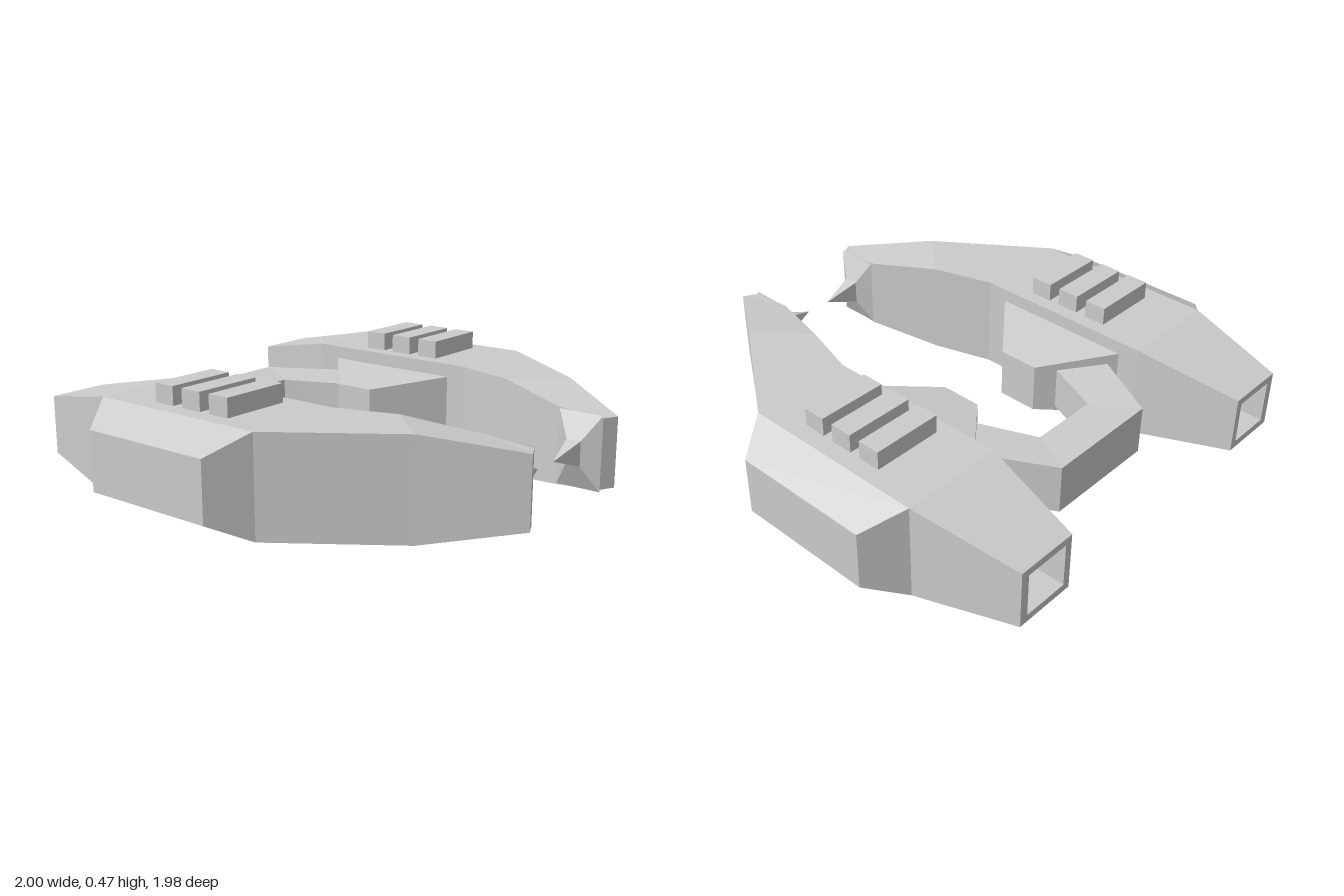
import * as THREE from 'three';

const material = new THREE.MeshStandardMaterial({ color: 0xcccccc, flatShading: true });

// Skin four-cornered rings in order; corners run counter-clockwise seen from ahead.
function loft(rings) {
  const out = [];
  const tri = (...pts) => {
    const [a, b, c] = pts.map((p) => new THREE.Vector3(...p));
    if (new THREE.Triangle(a, b, c).getArea() > 1e-7) out.push(...pts.flat());
  };
  const quad = (a, b, c, d) => { tri(a, b, c); tri(a, c, d); };
  for (let k = 0; k + 1 < rings.length; k++) {
    const a = rings[k], b = rings[k + 1];
    for (let i = 0; i < 4; i++) {
      const j = (i + 1) % 4;
      quad(a[i], a[j], b[j], b[i]);
    }
  }
  quad(...[...rings[0]].reverse());
  quad(...rings[rings.length - 1]);
  const geometry = new THREE.BufferGeometry();
  geometry.setAttribute('position', new THREE.Float32BufferAttribute(out, 3));
  return geometry;
}

// Ring spanning an inner and an outer point [x, z], both between heights y0 and y1
const span = ([xi, zi], [xo, zo], y0, y1, i0 = y0, i1 = y1) =>
  [[xi, i0, zi], [xo, y0, zo], [xo, y1, zo], [xi, i1, zi]];

// Ring at constant x
const slice = (x, zA, zB, y0, y1) => span([x, zA], [x, zB], y0, y1);

// Reflect a geometry across x = 0 and restore its winding
function mirror(geometry) {
  const g = geometry.index ? geometry.toNonIndexed() : geometry.clone();
  const p = g.attributes.position;
  for (let i = 0; i < p.count; i += 3) {
    const t = [0, 2, 1].map((k) => [-p.getX(i + k), p.getY(i + k), p.getZ(i + k)]);
    t.forEach((v, k) => p.setXYZ(i + k, ...v));
  }
  return g;
}

function add(parent, geometry, name) {
  geometry.computeVertexNormals();
  const mesh = new THREE.Mesh(geometry, material);
  mesh.name = name;
  parent.add(mesh);
}

export function createModel() {
  const model = new THREE.Group();
  model.name = 'twinHullShip';
  const parts = [];

  // Hull, starting at the back wall of the hollow engine nozzle
  parts.push(['hull', loft([
    span([0.54, -0.84], [0.73, -0.84], 0.11, 0.29),
    span([0.54, -0.99], [0.73, -0.99], 0.11, 0.29),
    span([0.51, -0.99], [0.765, -0.99], 0.08, 0.32),
    span([0.43, -0.57], [0.85, -0.57], 0, 0.4),
    span([0.43, 0.21], [0.85, 0.21], 0, 0.4),
    span([0.355, 0.46], [0.53, 0.66], 0, 0.4),
    span([0.25, 0.77], [0.31, 0.985], 0.06, 0.34, 0.045, 0.355),
    span([0.25, 0.955], [0.31, 0.985], 0.06, 0.34),
  ])]);

  // Bevelled pods on the outer and inner flanks
  parts.push(['outerPod', loft([
    slice(0.85, 0.21, -0.57, 0, 0.4),
    slice(1.0, 0.11, -0.47, 0.08, 0.32),
  ])]);
  parts.push(['innerPod', loft([
    slice(0.43, -0.48, 0.125, 0.055, 0.345),
    slice(0.17, -0.26, -0.09, 0.1, 0.305),
  ])]);

  // Prong pointing inward from the nose
  parts.push(['prongBase', loft([
    slice(0.25, 0.77, 0.955, 0.05, 0.35),
    slice(0.205, 0.83, 0.89, 0.15, 0.25),
  ])]);
  parts.push(['prongSpike', loft([
    slice(0.205, 0.83, 0.89, 0.15, 0.25),
    slice(0.055, 0.86, 0.86, 0.2, 0.2),
  ])]);

  // Three raised blocks on the deck
  for (const z of [-0.305, -0.165, -0.025]) {
    parts.push(['deckBlock', new THREE.BoxGeometry(0.29, 0.085, 0.093).translate(0.635, 0.4325, z)]);
  }

  for (const side of ['left', 'right']) {
    const half = new THREE.Group();
    half.name = `${side}Half`;
    for (const [name, geometry] of parts) {
      add(half, side === 'left' ? geometry.clone() : mirror(geometry), name);
    }
    model.add(half);
  }

  // U-shaped bridge joining the inner pods, slightly taller along its rear edge
  const bridgeRing = (xRear, zRear, xFront, zFront) =>
    span([xRear, zRear], [xFront, zFront], 0.11, 0.285, 0.095, 0.3);
  add(model, loft([
    bridgeRing(0.42, -0.41, 0.26, -0.27),
    bridgeRing(0.245, -0.735, 0.145, -0.55),
    bridgeRing(-0.245, -0.735, -0.145, -0.55),
    bridgeRing(-0.42, -0.41, -0.26, -0.27),
  ]), 'bridge');

  return model;
}
